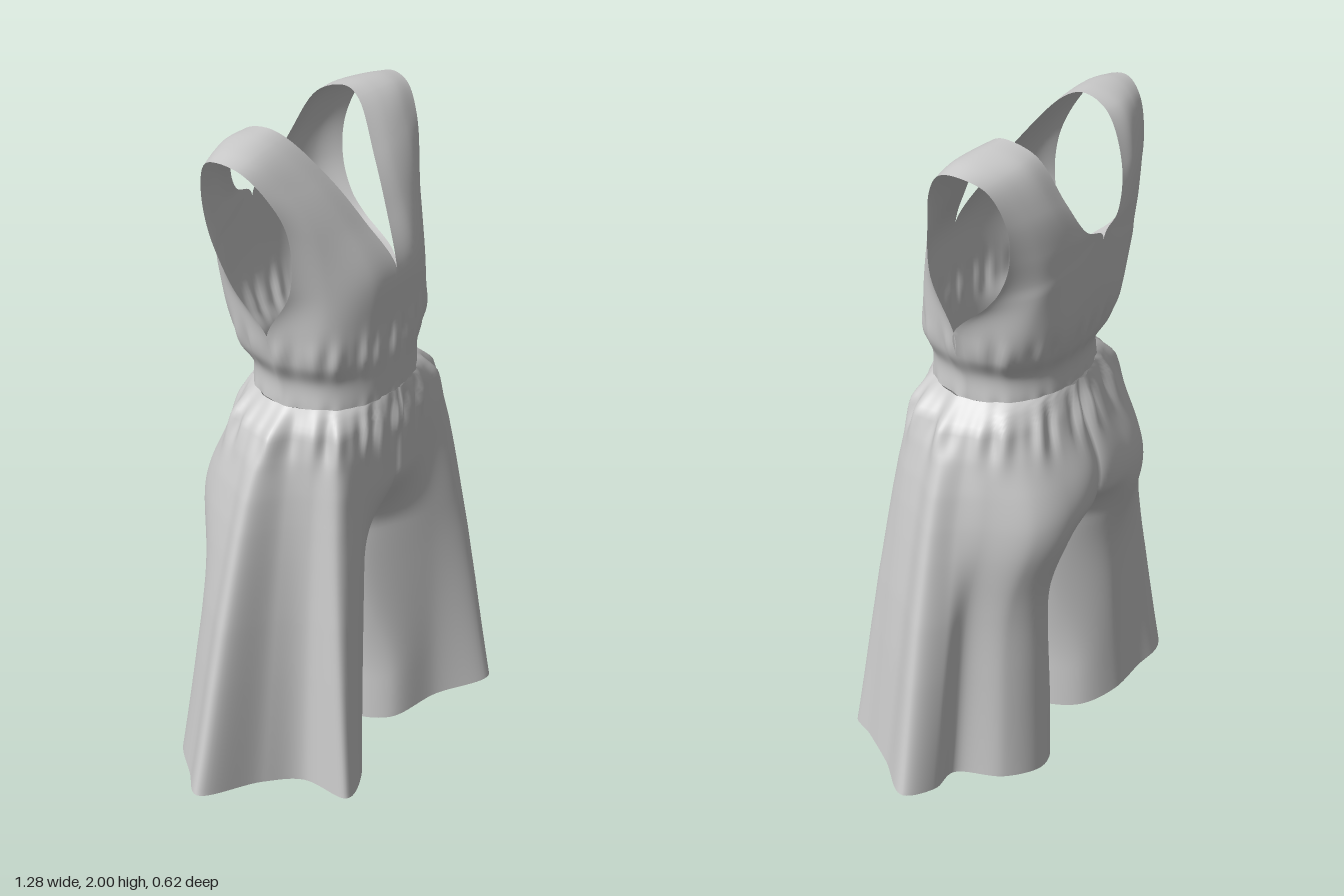
import * as THREE from 'three';
import { mergeVertices } from 'three/addons/utils/BufferGeometryUtils.js';

const { lerp, clamp, smoothstep } = THREE.MathUtils;
const gauss = (v, mid, width) => Math.exp(-(((v - mid) / width) ** 2));

// Piecewise linear lookup in a list of [y, value], y falling
function lookup(keys, y) {
  for (let i = 1; i < keys.length; i++) {
    const [y0, v0] = keys[i - 1], [y1, v1] = keys[i];
    if (y >= y1) return lerp(v0, v1, clamp((y - y0) / (y1 - y0), 0, 1));
  }
  return keys[keys.length - 1][1];
}

// Small cloth gathers above and below the waistband, pushed out from the body axis
function gather(p) {
  const a = Math.atan2(Math.abs(p.x), p.z);
  const amount = 0.0045 * gauss(p.y, 1.4, 0.05) + 0.008 * gauss(p.y, 1.16, 0.06);
  const wave = amount * (Math.sin(21 * a + 1) + 0.6 * Math.sin(34 * a));
  const r = Math.hypot(p.x, p.z) || 1;
  p.x += (p.x / r) * wave;
  p.z += (p.z / r) * wave;
  return p;
}

// Two half sheets (left and mirrored right) sewn together with smooth normals
function sewHalves(halves, rows, cols, downward, keep = () => true) {
  const pos = [], index = [];
  halves.forEach((pointAt, h) => {
    const base = pos.length / 3, sign = h ? -1 : 1;
    for (let r = 0; r <= rows; r++) {
      for (const p of pointAt(r)) pos.push(sign * Math.max(0, p.x), p.y, p.z);
    }
    const flip = downward !== (h === 1);
    for (let r = 0; r < rows; r++) for (let c = 0; c < cols; c++) {
      if (!keep(r, c)) continue;
      const a = base + r * (cols + 1) + c, b = a + 1, d = a + cols + 1, e = d + 1;
      if (flip) index.push(a, d, b, b, d, e);
      else index.push(a, b, d, b, e, d);
    }
  });
  let g = new THREE.BufferGeometry();
  g.setAttribute('position', new THREE.Float32BufferAttribute(pos, 3));
  g.setIndex(index);
  g = mergeVertices(g, 1e-4);
  g.computeVertexNormals();
  return g;
}

// Bodice stations: centre or neck edge, two in between, side seam or armhole edge
const bodiceFront = [
  [[0, 1.235, 0.2], [0.11, 1.235, 0.185], [0.21, 1.235, 0.12], [0.258, 1.235, -0.01]],
  [[0, 1.31, 0.2], [0.11, 1.31, 0.185], [0.21, 1.31, 0.12], [0.258, 1.31, -0.01]],
  [[0, 1.38, 0.2], [0.12, 1.38, 0.19], [0.235, 1.38, 0.13], [0.29, 1.38, -0.01]],
  [[0, 1.47, 0.2], [0.12, 1.47, 0.19], [0.24, 1.47, 0.13], [0.307, 1.465, -0.015]],
  [[0, 1.605, 0.195], [0.11, 1.61, 0.185], [0.23, 1.61, 0.13], [0.303, 1.61, 0.06]],
  [[0.05, 1.74, 0.125], [0.135, 1.75, 0.122], [0.235, 1.76, 0.1], [0.31, 1.78, 0.06]],
  [[0.1, 1.86, 0.05], [0.175, 1.87, 0.052], [0.265, 1.88, 0.042], [0.35, 1.89, 0.022]],
  [[0.165, 1.977, -0.045], [0.245, 1.977, -0.037], [0.32, 1.972, -0.032], [0.385, 1.96, -0.035]],
];
const bodiceBack = [
  [[0.18, 1.998, -0.1], [0.25, 1.996, -0.1], [0.33, 1.988, -0.1], [0.395, 1.975, -0.1]],
  [[0.168, 1.968, -0.185], [0.235, 1.965, -0.19], [0.3, 1.955, -0.18], [0.365, 1.94, -0.165]],
  [[0.135, 1.84, -0.255], [0.2, 1.85, -0.25], [0.265, 1.845, -0.232], [0.33, 1.835, -0.203]],
  [[0.075, 1.74, -0.282], [0.155, 1.74, -0.272], [0.235, 1.73, -0.248], [0.31, 1.72, -0.197]],
  [[0.012, 1.713, -0.287], [0.115, 1.68, -0.275], [0.22, 1.65, -0.246], [0.302, 1.625, -0.16]],
  [[0, 1.69, -0.286], [0.115, 1.64, -0.274], [0.225, 1.6, -0.238], [0.305, 1.57, -0.12]],
  [[0, 1.47, -0.265], [0.13, 1.47, -0.257], [0.24, 1.47, -0.195], [0.307, 1.465, -0.015]],
  [[0, 1.38, -0.24], [0.12, 1.38, -0.23], [0.235, 1.38, -0.162], [0.29, 1.38, -0.01]],
  [[0, 1.31, -0.21], [0.11, 1.31, -0.195], [0.21, 1.31, -0.13], [0.258, 1.31, -0.01]],
  [[0, 1.235, -0.21], [0.11, 1.235, -0.195], [0.21, 1.235, -0.13], [0.258, 1.235, -0.01]],
];

// Bodice, shoulders and waistband: each half runs up the front and down the back
function bodiceGeometry() {
  const stations = [...bodiceFront, ...bodiceBack], rows = 136, cols = 40;
  const columns = [0, 1, 2, 3].map((k) => new THREE.CatmullRomCurve3(
    stations.map((s) => new THREE.Vector3(...s[k]))));
  const half = (r) => {
    const cross = new THREE.CatmullRomCurve3(columns.map((c) => c.getPoint(r / rows)));
    return cross.getPoints(cols).map(gather);
  };
  return sewHalves([half, half], rows, cols, false);
}

// Hem outlines [x, z] from front centre round the outside to back centre
const hemLeft = [[0.1, 0.13], [0.24, 0.2], [0.385, 0.305], [0.44, 0.22], [0.53, 0.09], [0.64, -0.05],
  [0.55, -0.1], [0.44, -0.09], [0.36, -0.21], [0.23, -0.26], [0.1, -0.19]];
const hemRight = [[0.1, 0.14], [0.22, 0.24], [0.355, 0.28], [0.355, 0.13], [0.45, 0.05], [0.64, -0.04],
  [0.56, -0.13], [0.42, -0.26], [0.32, -0.25], [0.2, -0.235], [0.1, -0.17]];
const flare = [[1.24, 0], [1.22, 0.06], [1.18, 0.2], [1.1, 0.31], [1, 0.41], [0.9, 0.49], [0.8, 0.56],
  [0.6, 0.69], [0.4, 0.8], [0, 1]];
// Seat fullness for the outline points from the side to the back centre
const seat = [0, 0, 0, 0, 0, 0, 0, 0.03, 0.08, 0.09, 0];
const TOP = 1.24, CROTCH = 0.72;

// One closed ring of the wide leg at height y; its inner part lies on x = 0 above the crotch
function legRing(hem, y, cols) {
  const t = lookup(flare, y);
  const below = 1 - smoothstep(y, 0.15, CROTCH);
  const pts = hem.map(([hx, hz], i) => {
    const a = (i / 10) * Math.PI, corner = Math.abs(Math.abs(i - 5) - 3) <= 1;
    const x = lerp(0.26 * Math.sin(a), hx, corner ? t ** 0.65 : t);
    const z = lerp(0.205 * Math.cos(a) - 0.005, hz, t ** 1.6);
    return new THREE.Vector3(x, y, z - seat[i] * gauss(y, 0.9, 0.2));
  });
  // Centre seams curve inward to the crotch, then part into the inner leg
  const front = lerp(0.06, 0.2, smoothstep(y, CROTCH, 0.98));
  const back = lerp(-0.08, -0.21 - 0.075 * gauss(y, 0.95, 0.17), smoothstep(y, CROTCH, 0.9));
  pts[0].set(hem[0][0] * below, y, lerp(front, hem[0][1], below));
  pts[10].set(hem[10][0] * below, y, lerp(back, hem[10][1], below));
  pts.push(new THREE.Vector3(0.055 * (1 - smoothstep(y, 0.15, CROTCH)), y, -0.02));
  const ring = new THREE.CatmullRomCurve3(pts, true);
  return ring.getPoints(cols).map((p) => {
    gather(p);
    // The hem rises toward the outside
    const lift = 0.12 * clamp((p.x - 0.055) / 0.585, 0, 1) ** 0.85;
    p.y += lift * (1 - y / TOP) ** 2;
    return p;
  });
}

function trouserGeometry() {
  const upper = 40, lower = 40, rows = upper + lower, cols = 144;
  const height = (r) => (r <= upper
    ? lerp(TOP, CROTCH, r / upper) : lerp(CROTCH, 0, (r - upper) / lower));
  const halves = [hemLeft, hemRight].map((hem) => (r) => legRing(hem, height(r), cols));
  const innerStart = (cols * 10) / 12;
  return sewHalves(halves, rows, cols, true, (r, c) => c < innerStart || r >= upper);
}

export function createModel() {
  const cloth = new THREE.MeshStandardMaterial({ color: 0xcccccc, side: THREE.DoubleSide });
  const group = new THREE.Group();
  group.name = 'wideLegJumpsuit';
  const add = (name, geometry) => {
    const mesh = new THREE.Mesh(geometry, cloth);
    mesh.name = name;
    group.add(mesh);
  };
  add('bodiceAndWaistband', bodiceGeometry());
  add('wideLegTrousers', trouserGeometry());
  return group;
}
